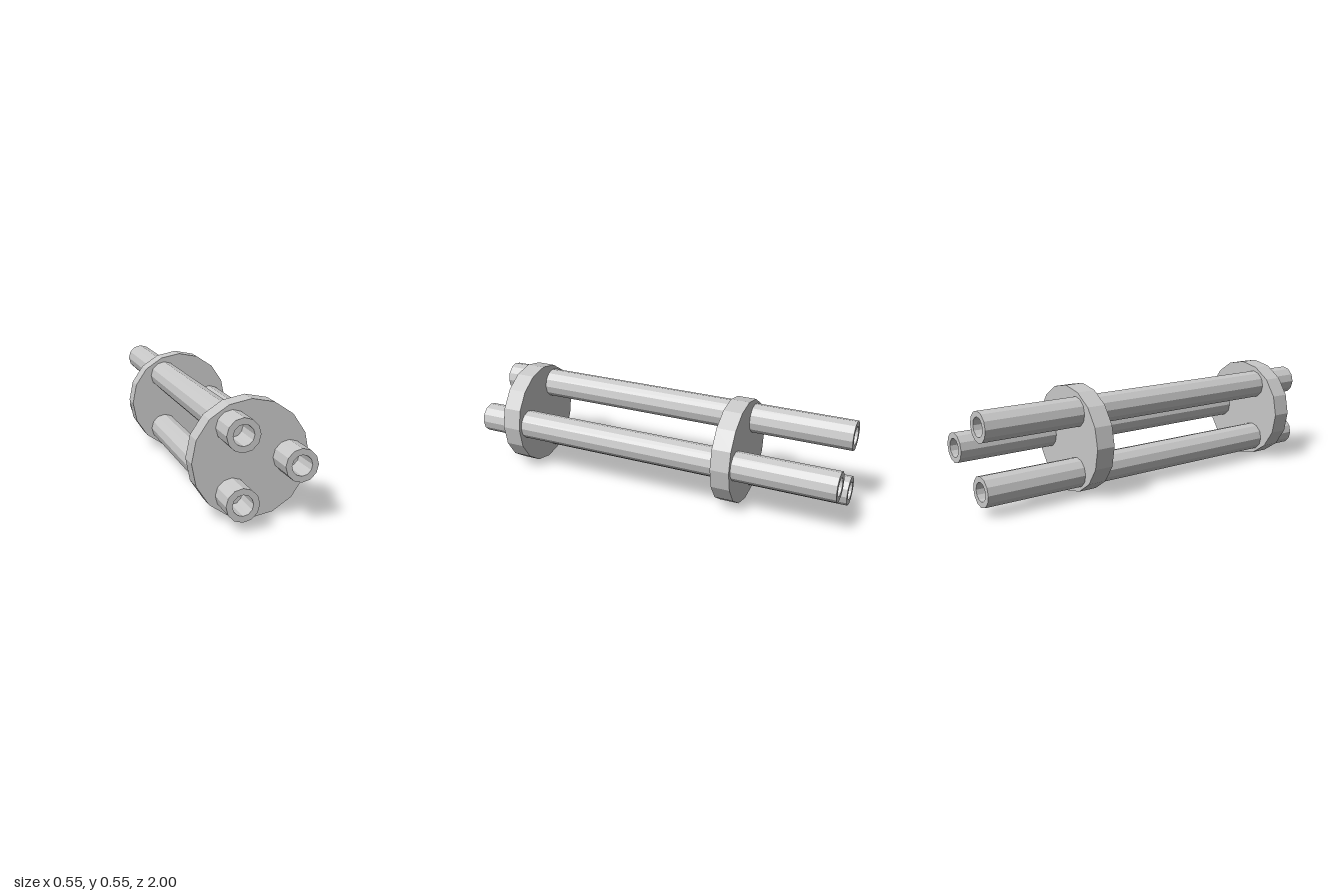
import * as THREE from 'three';

const CENTRE_Y = 0.275;

export function createModel() {
  const group = new THREE.Group();
  const steel = new THREE.MeshStandardMaterial({ color: 0xc9c9c9, flatShading: true });
  steel.name = 'lightSteelGrey';

  // Hollow twelve-sided tube: a closed wall profile turned around its axis
  const outer = 0.077, inner = 0.048, half = 1;
  const profile = [[inner, -half], [outer, -half], [outer, half], [inner, half], [inner, -half]]
    .map(([r, y]) => new THREE.Vector2(r, y));
  const barrelGeometry = new THREE.LatheGeometry(profile, 12).rotateX(Math.PI / 2);

  // Three barrels spaced evenly around the axis
  for (let i = 0; i < 3; i++) {
    const angle = (i * Math.PI * 2) / 3;
    const barrel = new THREE.Mesh(barrelGeometry, steel);
    barrel.name = `barrel${i + 1}`;
    barrel.position.set(0.179 * Math.cos(angle), CENTRE_Y + 0.179 * Math.sin(angle), 0);
    group.add(barrel);
  }

  // Solid sixteen-sided discs clamping the barrels together
  const discGeometry = new THREE.CylinderGeometry(0.275, 0.275, 0.1, 16).rotateX(Math.PI / 2);
  for (const [name, z] of [['frontDisc', 0.8], ['rearDisc', -0.42]]) {
    const disc = new THREE.Mesh(discGeometry, steel);
    disc.name = name;
    disc.position.set(0, CENTRE_Y, z);
    group.add(disc);
  }
  return group;
}
